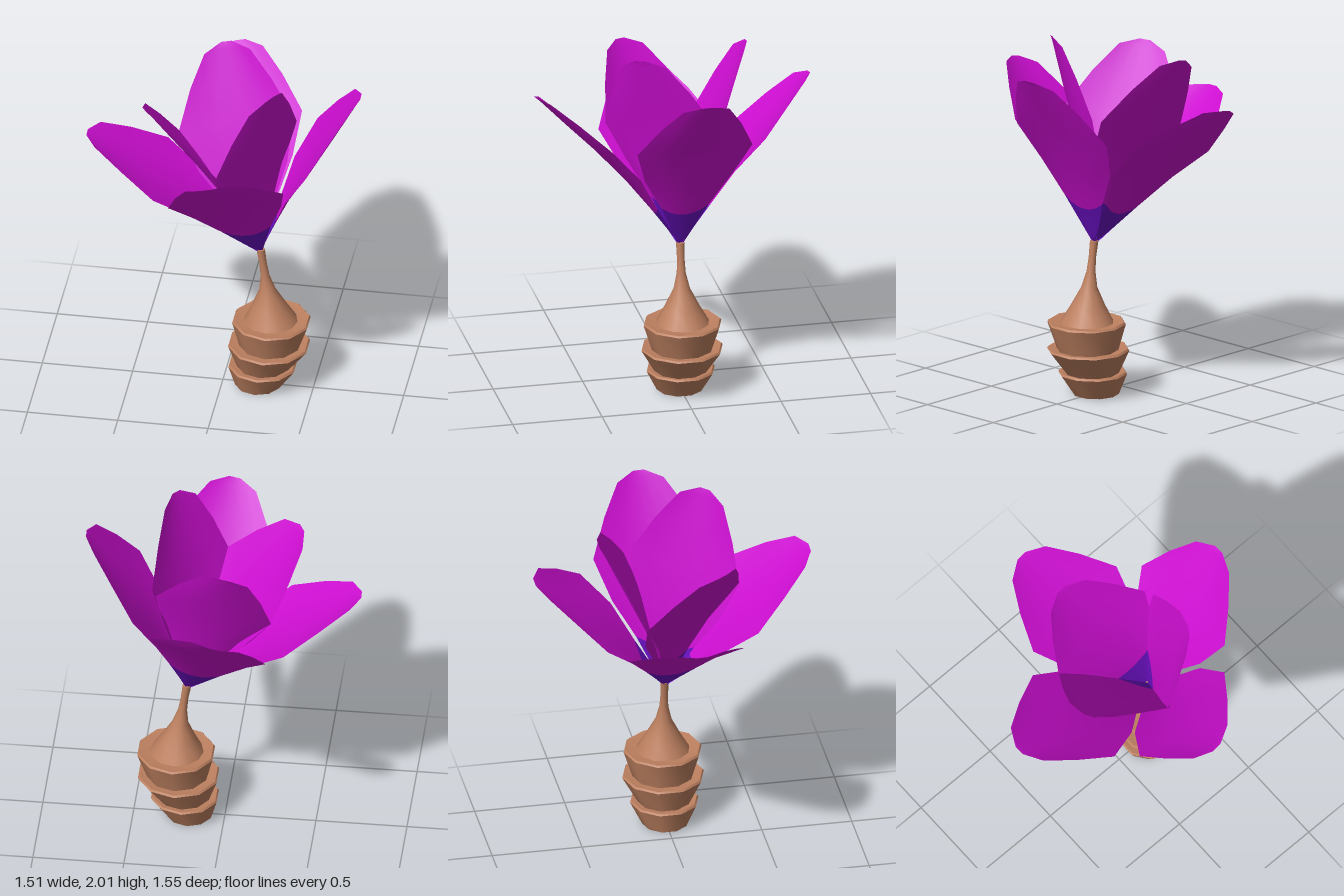
import * as THREE from 'three';
import { toCreasedNormals } from 'three/addons/utils/BufferGeometryUtils.js';

const deg = THREE.MathUtils.degToRad;

// Lathe whose rings [centreX, y, radius] may drift sideways
function driftingLathe(rings, sides) {
  const g = new THREE.LatheGeometry(rings.map(([, y, r]) => new THREE.Vector2(r, y)), sides);
  const p = g.attributes.position;
  for (let i = 0; i < p.count; i++) p.setX(i, p.getX(i) + rings[i % rings.length][0]);
  return toCreasedNormals(g, 0.75);
}

// Petal rows: [length, half width, middle depth, edge depth, edge rise]
const ROWS = [
  [0, 0.012, 0, 0, 0],
  [0.23, 0.135, -0.022, -0.042, 0.05],
  [0.47, 0.25, -0.035, -0.078, 0.02],
  [0.73, 0.325, -0.03, -0.072, 0],
  [0.95, 0.23, -0.015, -0.05, 0],
  [1.14, 0.13, -0.005, -0.025, -0.015],
  [1.178, 0.03, 0, 0, 0],
];
const COLS = 6;

// Cupped petal growing along +y, its outer side facing +z
function petalGeometry() {
  const pos = [], idx = [];
  for (const [v, w, mid, edge, rise] of ROWS) {
    for (let c = 0; c <= COLS; c++) {
      const s = (c / COLS) * 2 - 1;
      pos.push(s * w, v + rise * s * s, mid + (edge - mid) * s * s);
    }
  }
  for (let r = 0; r < ROWS.length - 1; r++) {
    for (let c = 0; c < COLS; c++) {
      const a = r * (COLS + 1) + c, d = a + COLS + 1;
      idx.push(a, a + 1, d + 1, a, d + 1, d);
    }
  }
  const g = new THREE.BufferGeometry();
  g.setAttribute('position', new THREE.Float32BufferAttribute(pos, 3));
  g.setIndex(idx);
  g.computeVertexNormals();
  // first row of faces is the violet throat
  g.addGroup(0, COLS * 6, 0);
  g.addGroup(COLS * 6, idx.length - COLS * 6, 1);
  return g;
}

export function createModel() {
  const model = new THREE.Group();
  model.name = 'pottedFlower';

  const clay = new THREE.MeshStandardMaterial({ color: 0xbd8060 });
  clay.name = 'clay brown';
  const violet = new THREE.MeshStandardMaterial({ color: 0x6a10c2, side: THREE.DoubleSide });
  violet.name = 'throat violet';
  const magenta = new THREE.MeshStandardMaterial({ color: 0xcc0ed0, side: THREE.DoubleSide });
  magenta.name = 'petal magenta';

  // Three stacked cups: bottom [x, y, r], top [x, y, r]
  const cups = [
    [[0.195, 0, 0.128], [0.22, 0.132, 0.19]],
    [[0.225, 0.125, 0.148], [0.255, 0.272, 0.227]],
    [[0.26, 0.265, 0.17], [0.268, 0.425, 0.217]],
  ];
  cups.forEach(([[bx, by, br], [tx, ty, tr]], i) => {
    const cup = new THREE.Mesh(driftingLathe([
      [bx, by, 0], [bx, by, br], [tx, ty - 0.01, tr], [tx, ty, tr - 0.008],
      [tx, ty - 0.006, tr - 0.04], [tx, ty - 0.006, 0],
    ], 10), clay);
    cup.name = 'cup' + (i + 1);
    model.add(cup);
  });

  // Bulb narrowing into the stem
  const stem = new THREE.Mesh(driftingLathe([
    [0.265, 0.415, 0.15], [0.257, 0.51, 0.096], [0.247, 0.61, 0.046],
    [0.233, 0.7, 0.025], [0.222, 0.78, 0.021], [0.208, 0.87, 0.024], [0.208, 0.87, 0],
  ], 12), clay);
  stem.name = 'bulbAndStem';
  model.add(stem);

  // Leaning flower head: four open outer petals, three upright inner ones
  const flower = new THREE.Group();
  flower.name = 'flowerHead';
  flower.position.set(0.205, 0.855, 0);
  flower.rotation.z = deg(13);
  model.add(flower);

  const geometry = petalGeometry();
  const addPetals = (name, tilt, turns) => turns.forEach((turn, i) => {
    const petal = new THREE.Mesh(geometry, [violet, magenta]);
    petal.name = name + (i + 1);
    petal.rotation.set(deg(tilt), deg(turn), 0, 'YXZ');
    flower.add(petal);
  });
  addPetals('outerPetal', 41, [2, 93, 183, 272]);
  addPetals('innerPetal', 21, [55, -61, 181]);

  return model;
}
